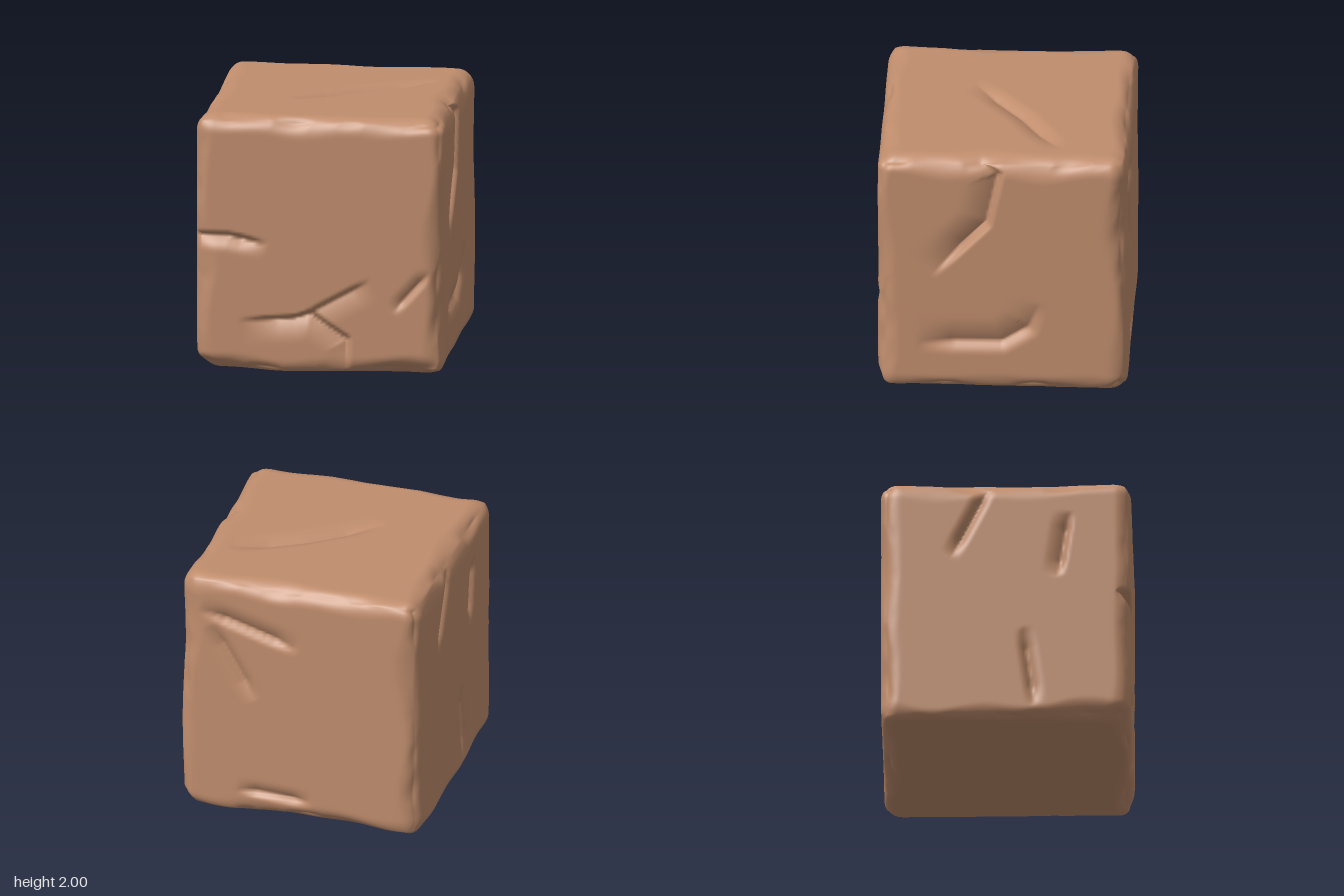
import * as THREE from 'three';
import { mergeVertices } from 'three/addons/utils/BufferGeometryUtils.js';

const HALF = [0.955, 1, 0.955];
const SEGMENTS = 100;
const clamp = THREE.MathUtils.clamp;

// A crack lies on one face (axis and sign) and follows a path in the other
// two axes: (x, y), (z, y) or, on top, (x, z). It falls off over its own
// width to the left and to the right of the direction of travel.
function crack(axis, sign, depth, left, right, ...points) {
  const lengths = [0];
  const path = points.map(([x, y]) => new THREE.Vector2(x, y));
  for (let i = 1; i < path.length; i++) lengths.push(lengths[i - 1] + path[i].distanceTo(path[i - 1]));
  return { axis, sign, depth, left, right, path, lengths };
}

const CRACKS = [
  // front: long crack with its branch, edge notch, corner nick
  crack(2, 1, 0.06, 0.03, 0.2, [-0.62, 0.4], [-0.2, 0.43], [-0.07, 0.47], [0.22, 0.28], [0.22, 0]),
  crack(2, 1, 0.035, 0.05, 0.18, [-0.15, 0.43], [0.4, 0.74]),
  crack(2, 1, 0.08, 0.04, 0.13, [-1.2, 1.06], [-0.7, 1.06], [-0.4, 1]),
  crack(2, 1, 0.04, 0.1, 0.06, [0.57, 0.5], [0.85, 0.82]),
  // right: upper and lower cracks
  crack(0, 1, 0.075, 0.25, 0.05, [0.25, 2.08], [0.03, 1.88], [0.12, 1.45], [0.54, 1]),
  crack(0, 1, 0.06, 0.1, 0.24, [0.65, 0.41], [0, 0.42], [-0.2, 0.55], [-0.28, 0.77]),
  // top: diagonal groove
  crack(1, 1, 0.05, 0.16, 0.12, [-0.3, 0.27], [0.2, -0.12], [0.72, -0.43]),
  // back: upper dents and low crack
  crack(2, -1, 0.06, 0.07, 0.16, [0.8, 1.72], [0, 1.48]),
  crack(2, -1, 0.05, 0.15, 0.1, [0.7, 1.6], [0.35, 1]),
  crack(2, -1, 0.05, 0.05, 0.12, [0.5, 0.2], [-0.1, 0.17]),
  // left: three upright cracks
  crack(0, -1, 0.06, 0.08, 0.1, [-0.12, 1.95], [-0.42, 1.35]),
  crack(0, -1, 0.06, 0.06, 0.14, [0.48, 1.72], [0.4, 1.18]),
  crack(0, -1, 0.06, 0.1, 0.07, [0.13, 0.75], [0.22, 0.1]),
];

// Depth of one crack at a face position, tapering towards its ends
function carve({ depth, left, right, path, lengths }, u, v) {
  let best = Infinity, side = 1, along = 0;
  for (let i = 1; i < path.length; i++) {
    const a = path[i - 1];
    const dx = path[i].x - a.x, dy = path[i].y - a.y;
    const t = clamp(((u - a.x) * dx + (v - a.y) * dy) / (dx * dx + dy * dy), 0, 1);
    const d = Math.hypot(u - a.x - dx * t, v - a.y - dy * t);
    if (d < best) {
      best = d;
      side = dx * (v - a.y) - dy * (u - a.x);
      along = THREE.MathUtils.lerp(lengths[i - 1], lengths[i], t);
    }
  }
  const fall = Math.max(0, 1 - best / (side > 0 ? left : right));
  const total = lengths[lengths.length - 1];
  const taper = clamp(Math.min(along, total - along) / (total * 0.25), 0, 1);
  return depth * fall * fall * taper;
}

// Smooth unevenness for worn edges
const wave = (x, y, z) =>
  Math.sin(4.1 * x + 1.3 * y + 0.7) * Math.sin(3.7 * y - 1.9 * z + 1.1) +
  0.6 * Math.sin(8.3 * z + 2.2 * x + 2) * Math.sin(7.1 * x - 6.3 * y);

function stoneGeometry() {
  let geo = new THREE.BoxGeometry(...HALF.map((h) => h * 2), SEGMENTS, SEGMENTS, SEGMENTS);
  geo.deleteAttribute('normal');
  geo.deleteAttribute('uv');
  geo.clearGroups();
  geo = mergeVertices(geo, 1e-4);
  const pos = geo.attributes.position;
  for (let i = 0; i < pos.count; i++) {
    const p = [pos.getX(i), pos.getY(i), pos.getZ(i)];
    // Rounded edges with an uneven radius
    const r = clamp(0.14 + 0.05 * wave(...p), 0.07, 0.22);
    const core = p.map((c, k) => clamp(c, r - HALF[k], HALF[k] - r));
    const offset = p.map((c, k) => c - core[k]);
    const length = Math.hypot(...offset);
    const n = offset.map((c) => c / length);
    // Chips, strongest on the edges
    const edge = 1 - Math.max(...n.map(Math.abs));
    const chip = 0.05 * edge * Math.max(0, wave(2.1 * p[2], 2.3 * p[0], 2.2 * p[1]));
    const q = core.map((c, k) => c + n[k] * (r - chip));
    // Cracks and dents
    for (const c of CRACKS) {
      const weight = n[c.axis] * c.sign;
      if (weight < 0.2) continue;
      const u = c.axis === 0 ? p[2] : p[0];
      const v = c.axis === 1 ? p[2] : p[1] + 1;
      q[c.axis] -= c.sign * weight * carve(c, u, v);
    }
    pos.setXYZ(i, q[0], q[1] + 1, q[2]);
  }
  geo.computeVertexNormals();
  return geo;
}

export function createModel() {
  const group = new THREE.Group();
  group.name = 'stoneCube';
  const clay = new THREE.MeshStandardMaterial({ color: 0xc08d6d });
  clay.name = 'clayBrown';
  const block = new THREE.Mesh(stoneGeometry(), clay);
  block.name = 'stoneBlock';
  group.add(block);
  return group;
}
